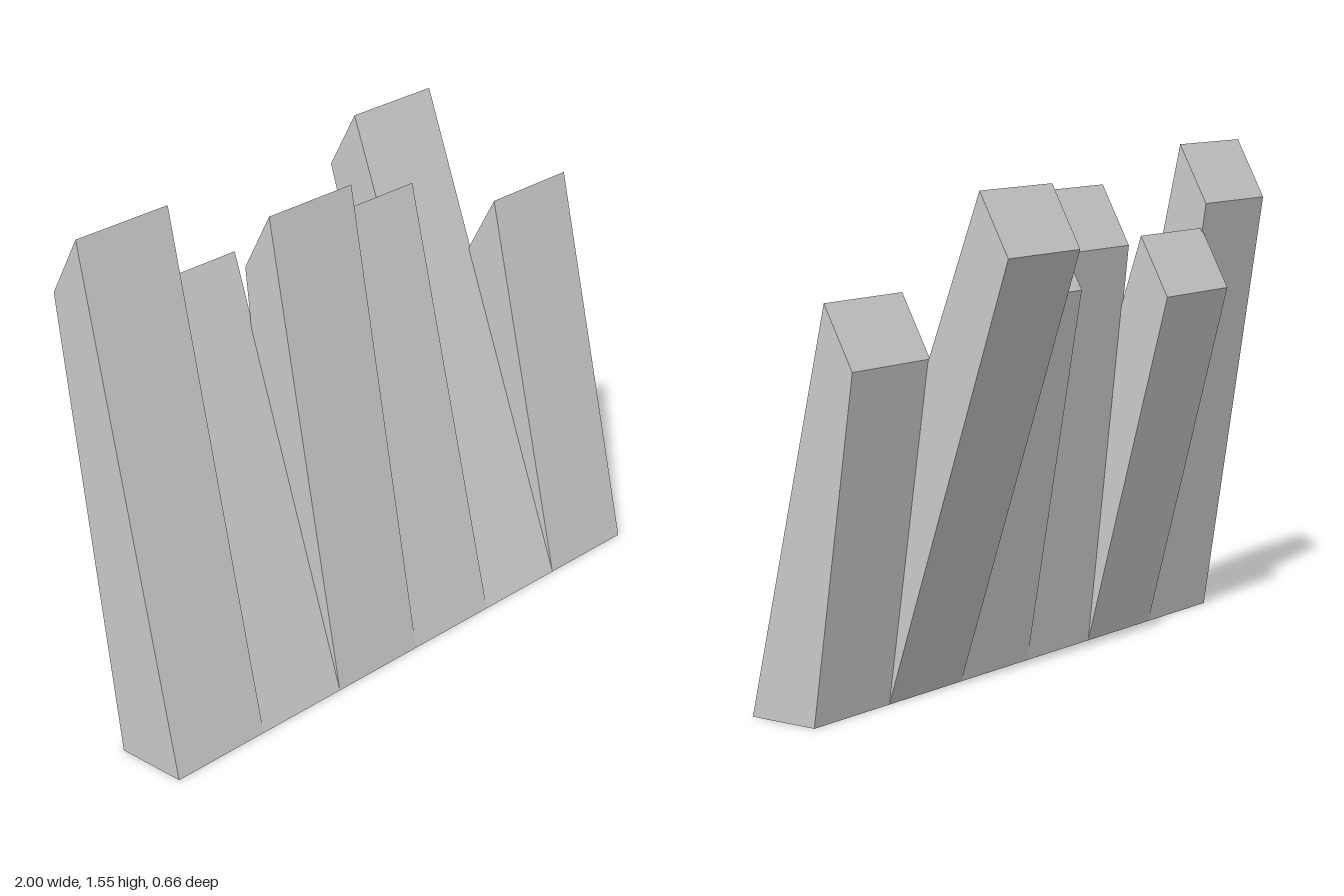
import * as THREE from 'three';

const WIDTH = 0.34;
const FRONT = 0.33, BACK = 0.102; // shared footprint in z

// Leaning plank: side profile (z, y) extruded across x, with a sloped top
function plank(left, topZ, topY, material) {
  const profile = new THREE.Shape([
    new THREE.Vector2(FRONT, 0),
    new THREE.Vector2(topZ, topY),
    new THREE.Vector2(topZ - 0.098, topY - 0.182),
    new THREE.Vector2(BACK, 0),
  ]);
  const geometry = new THREE.ExtrudeGeometry(profile, { depth: WIDTH, bevelEnabled: false });
  geometry.rotateY(-Math.PI / 2).translate(left + WIDTH, 0, 0);
  return new THREE.Mesh(geometry, material);
}

export function createModel() {
  const group = new THREE.Group();
  group.name = 'leaningPlanks';
  const material = new THREE.MeshStandardMaterial({ color: 0xcccccc, flatShading: true });

  // Front top edge of each plank: z, y
  const tops = [
    [-0.015, 1.55], [-0.092, 1.29], [0.056, 1.44],
    [-0.002, 1.335], [-0.231, 1.495], [0.049, 1.197],
  ];
  const step = (2 - WIDTH) / (tops.length - 1); // neighbours overlap slightly
  tops.forEach(([z, y], i) => {
    const mesh = plank(-1 + i * step, z, y, material);
    mesh.name = `plank${i + 1}`;
    group.add(mesh);
  });
  return group;
}
